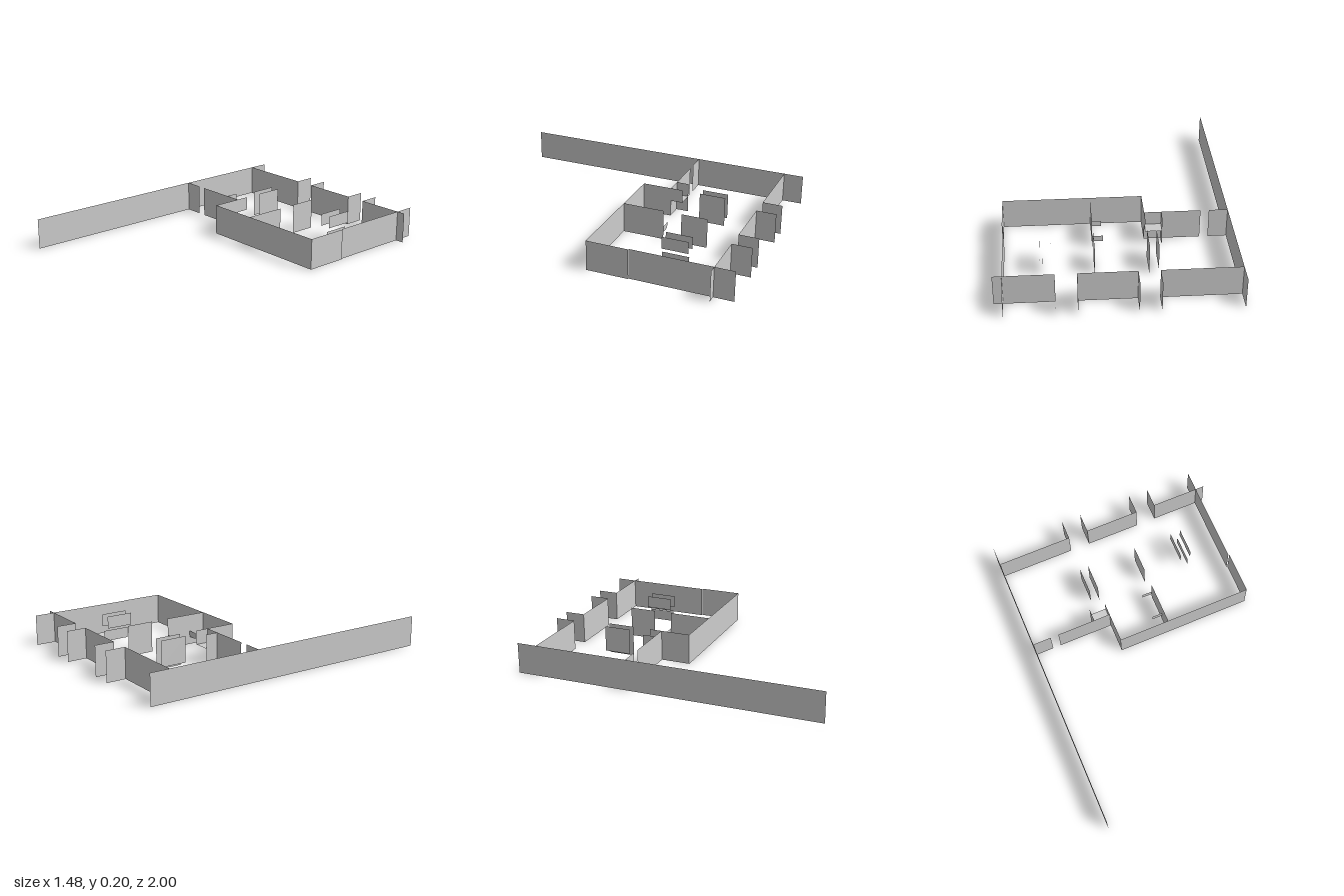
import * as THREE from 'three';

const H = 0.2; // full wall height
const material = new THREE.MeshStandardMaterial({ color: 0xcccccc, side: THREE.DoubleSide, flatShading: true });

// Thin upright panel between two points of the floor plan
function panel(name, x1, z1, x2, z2, y0 = 0, y1 = H) {
  const mesh = new THREE.Mesh(new THREE.PlaneGeometry(Math.hypot(x2 - x1, z2 - z1), y1 - y0), material);
  mesh.position.set((x1 + x2) / 2, (y0 + y1) / 2, (z1 + z2) / 2);
  mesh.rotation.y = -Math.atan2(z2 - z1, x2 - x1);
  mesh.name = name;
  return mesh;
}

export function createModel() {
  const model = new THREE.Group();
  model.name = 'floorPlanWalls';
  const add = (...args) => model.add(panel(...args));

  // Outer walls
  add('longRightWall', -0.74, -1, -0.74, 1);
  add('leftWallBack', 0.683, -1, 0.683, -0.335);
  add('leftWallFront', 0.69, -0.335, 0.69, -0.06);
  add('frontWall', -0.21, -0.06, 0.69, -0.06);
  add('entranceWallShort', -0.74, -0.253, -0.62, -0.253);
  add('entranceWallLong', -0.567, -0.253, -0.207, -0.253);
  add('entranceSideWall', -0.207, -0.253, -0.207, -0.06);

  // Back wall in three lengths, with returns beside the openings
  for (const [a, b] of [[-0.74, -0.247], [-0.115, 0.244], [0.375, 0.74]]) add('backWall', a, -0.87, b, -0.87);
  for (const x of [-0.247, -0.115, 0.244, 0.375]) add('backReturn', x, -1, x, -0.87);

  // Partitions across the middle: x, bottom, top
  for (const [x, y0, y1] of [
    [-0.265, 0.03, H], [-0.207, 0, H], [0.127, 0, H],
    [0.39, 0.12, H], [0.46, 0.12, H], [0.443, 0.02, 0.09],
  ]) add('middlePartition', x, -0.63, x, -0.455, y0, y1);

  // Cupboard with a shelf beside the entrance
  add('cupboardSide', -0.315, -0.335, -0.315, -0.253);
  add('cupboardUpperSide', -0.207, -0.335, -0.207, -0.253, 0.11, H);
  const shelf = new THREE.Mesh(new THREE.PlaneGeometry(0.108, 0.082), material);
  shelf.name = 'cupboardShelf';
  shelf.rotation.x = -Math.PI / 2;
  shelf.position.set(-0.261, 0.11, -0.294);
  model.add(shelf);

  // Inner front partition with two short rails
  add('innerPartition', 0.127, -0.335, 0.127, -0.06);
  for (const z of [-0.335, -0.165]) add('shortRail', 0.06, z, 0.127, z, 0.05, 0.09);

  return model;
}
